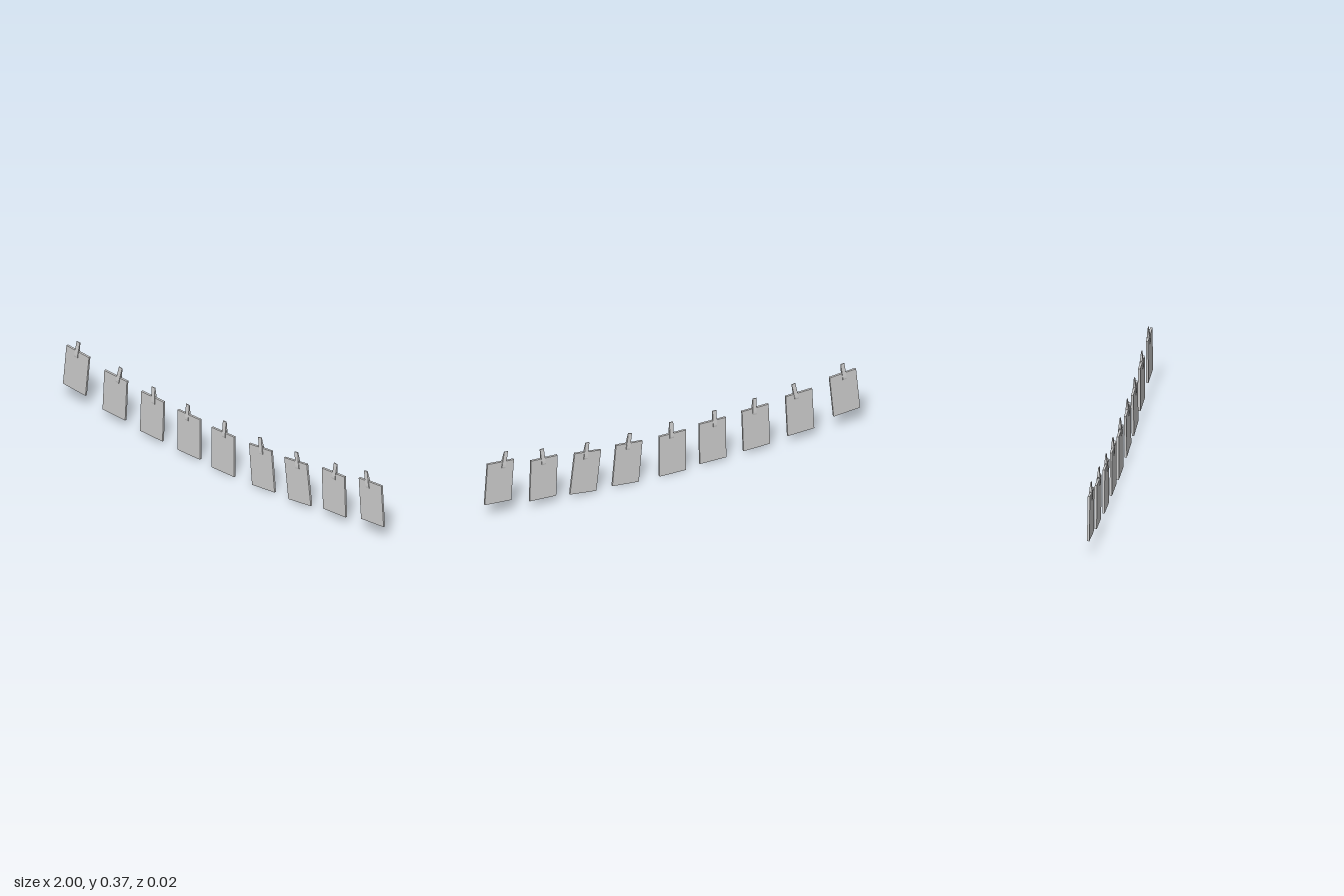
import * as THREE from 'three';

const CARD = { w: 0.141, h: 0.227, d: 0.011 };
const PEG = { w: 0.02, h: 0.088 };

// card centre x, y, z, tilt in degrees, then peg tip x, y and lean in degrees
const ROW = [
  [-0.92, 0.208, 0, -5.5, -0.909, 0.373, -6],
  [-0.68, 0.163, -0.002, -2.8, -0.647, 0.332, -10],
  [-0.447, 0.139, 0, -2, -0.441, 0.305, 3],
  [-0.217, 0.128, 0, -0.4, -0.227, 0.294, 0],
  [-0.004, 0.115, 0, 0, 0.003, 0.292, 0],
  [0.238, 0.123, 0, 5, 0.222, 0.289, 10],
  [0.461, 0.135, 0, 6.5, 0.449, 0.298, 9],
  [0.685, 0.163, -0.002, 2, 0.693, 0.33, -5],
  [0.92, 0.204, 0, 3.7, 0.882, 0.366, 12],
];

// one leg of the peg: side profile (depth, height below the tip) extruded across its width
function legGeometry() {
  const s = new THREE.Shape();
  s.moveTo(0, 0);
  s.lineTo(0.002, 0);
  s.lineTo(0.0095, -0.07);
  s.lineTo(0.01, -0.08);
  s.lineTo(0.0085, -PEG.h);
  s.lineTo(0.0055, -PEG.h);
  s.lineTo(0.0045, -0.06);
  s.lineTo(0, -0.045);
  s.closePath();
  const g = new THREE.ExtrudeGeometry(s, { depth: PEG.w, bevelEnabled: false });
  g.translate(0, 0, -PEG.w / 2);
  g.rotateY(-Math.PI / 2);
  return g;
}

export function createModel() {
  const group = new THREE.Group();
  group.name = 'hangingCards';
  const mat = new THREE.MeshStandardMaterial({ color: 0xcccccc, flatShading: true });
  const cardGeo = new THREE.BoxGeometry(CARD.w, CARD.h, CARD.d);
  const legGeo = legGeometry();

  ROW.forEach(([x, y, z, tilt, px, py, lean], i) => {
    // card
    const card = new THREE.Mesh(cardGeo, mat);
    card.name = `card${i + 1}`;
    card.position.set(x, y, z);
    card.rotation.z = THREE.MathUtils.degToRad(tilt);
    group.add(card);

    // clothes peg with a leg on each side of the card
    const peg = new THREE.Group();
    peg.name = `peg${i + 1}`;
    peg.position.set(px, py, z);
    peg.rotation.z = THREE.MathUtils.degToRad(lean);
    for (const [name, turn] of [['frontLeg', 0], ['backLeg', Math.PI]]) {
      const leg = new THREE.Mesh(legGeo, mat);
      leg.name = name;
      leg.rotation.y = turn;
      peg.add(leg);
    }
    group.add(peg);
  });
  return group;
}
